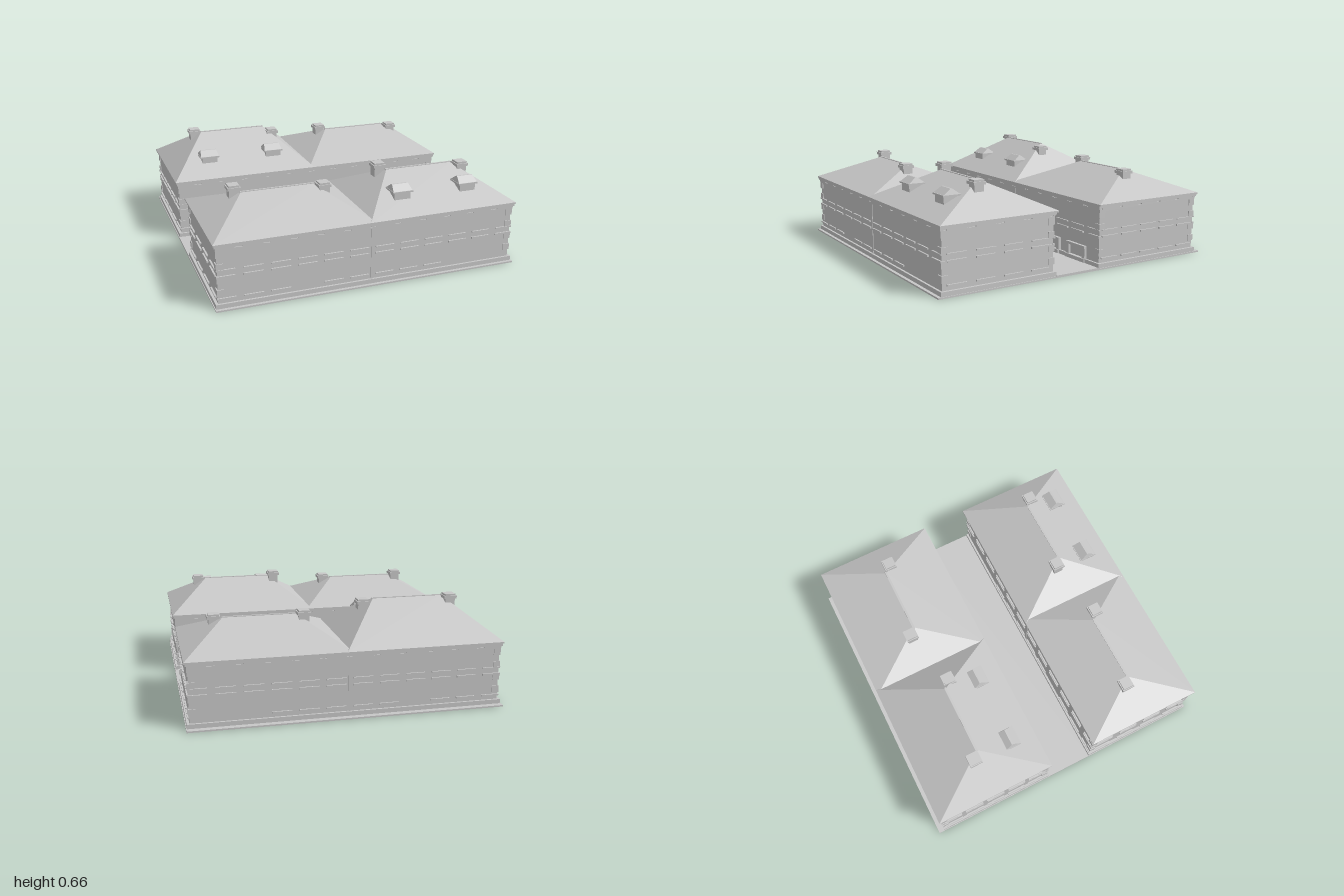
import * as THREE from 'three';

const stone = new THREE.MeshStandardMaterial({ color: 0xc6c6c6 });
stone.name = 'paleStone';

// box given by its limits on each axis
function block(parent, name, x0, x1, y0, y1, z0, z1) {
  const m = new THREE.Mesh(new THREE.BoxGeometry(x1 - x0, y1 - y0, z1 - z0), stone);
  m.position.set((x0 + x1) / 2, (y0 + y1) / 2, (z0 + z1) / 2);
  m.name = name;
  parent.add(m);
  return m;
}

// frustum with a rectangular base and top: hip roofs and dormer caps
function hip(parent, name, base, y0, top, y1) {
  const ring = ([x0, x1, z0, z1], y) => [[x0, y, z1], [x1, y, z1], [x1, y, z0], [x0, y, z0]];
  const a = ring(base, y0), b = ring(top, y1), pos = [];
  const quad = (p, q, r, s) => pos.push(...p, ...q, ...r, ...p, ...r, ...s);
  for (let i = 0; i < 4; i++) {
    const j = (i + 1) % 4;
    quad(a[i], a[j], b[j], b[i]);
  }
  quad(...b);
  quad(a[3], a[2], a[1], a[0]);
  const g = new THREE.BufferGeometry();
  g.setAttribute('position', new THREE.Float32BufferAttribute(pos, 3));
  g.computeVertexNormals();
  const m = new THREE.Mesh(g, stone);
  m.name = name;
  parent.add(m);
}

function chimney(parent, x, z, top) {
  const g = new THREE.Group();
  g.name = 'chimney';
  const part = (name, r, y0, y1) => block(g, name, x - r, x + r, y0, y1, z - r, z + r);
  part('chimneyShaft', 0.033, top - 0.1, top - 0.03);
  part('chimneyCap', 0.042, top - 0.03, top - 0.012);
  part('chimneyPot', 0.035, top - 0.012, top);
  parent.add(g);
}

function dormer(parent, x, z) {
  const g = new THREE.Group();
  g.name = 'dormer';
  block(g, 'dormerBody', x - 0.055, x + 0.055, 0.48, 0.535, z - 0.05, z + 0.05);
  block(g, 'dormerEave', x - 0.068, x + 0.068, 0.53, 0.54, z - 0.06, z + 0.06);
  hip(g, 'dormerRoof', [x - 0.065, x + 0.065, z - 0.055, z + 0.055], 0.54,
    [x - 0.055, x + 0.055, z - 0.006, z + 0.006], 0.575);
  parent.add(g);
}

// one long terrace: walls, bands, sills, corner stones
function terrace(name, z0, z1, sideCount) {
  const g = new THREE.Group();
  g.name = name;
  block(g, 'walls', -0.975, 0.975, 0.01, 0.41, z0, z1);
  block(g, 'plinth', -0.992, 0.992, 0.01, 0.038, z0 - 0.014, z1 + 0.014);
  block(g, 'corniceLower', -0.982, 0.982, 0.373, 0.385, z0 - 0.007, z1 + 0.007);
  block(g, 'corniceUpper', -0.99, 0.99, 0.393, 0.412, z0 - 0.015, z1 + 0.015);

  // sills and lintels along every face
  for (const [y, h] of [[0.068, 0.01], [0.208, 0.012], [0.25, 0.008], [0.389, 0.008]]) {
    for (let i = 0; i < 12; i++) {
      if (y < 0.1 && (i === 3 || i > 8)) continue;
      const x = -0.924 + i * 0.168, w = x < -0.9 || x > 0.9 ? 0.058 : 0.062;
      block(g, 'frontSill', x - w, x + w, y - h / 2, y + h / 2, z1 - 0.005, z1 + 0.01);
      block(g, 'backSill', x - w, x + w, y - h / 2, y + h / 2, z0 - 0.01, z0 + 0.005);
    }
    for (let i = 0; i < sideCount; i++) {
      const z = z0 + (i + 0.5) * (z1 - z0) / sideCount;
      for (const s of [-1, 1]) {
        const xa = s * 0.97, xb = s * 0.986;
        block(g, 'sideSill', Math.min(xa, xb), Math.max(xa, xb), y - h / 2, y + h / 2, z - 0.065, z + 0.065);
      }
    }
  }
  // alternating corner stones
  for (const sx of [-1, 1]) for (const zc of [z0, z1]) for (let k = 0; k < 4; k++) {
    const r = 0.022, y = 0.085 + k * 0.082;
    const sz = zc === z1 ? 1 : -1;
    const cx = sx * (0.981 - r), cz = zc + sz * (0.006 - r);
    block(g, 'cornerStone', cx - r, cx + r, y, y + 0.042, cz - r, cz + r);
  }
  // party wall strips
  block(g, 'partyStrip', -0.008, 0.008, 0.03, 0.4, z0 - 0.004, z1 + 0.004);
  return g;
}

// hip roof of one house, with a thin eave and ridge cap
function houseRoof(parent, side, z0, z1, ridgeY) {
  const x0 = side < 0 ? -0.997 : -0.02, x1 = side < 0 ? 0.02 : 0.997;
  const zc = (z0 + z1) / 2;
  block(parent, 'eave', x0, x1, 0.408, 0.418, z0, z1);
  hip(parent, 'roof', [x0, x1, z0, z1], 0.418, [x0 + 0.275, x1 - 0.275, zc - 0.006, zc + 0.006], ridgeY);
  block(parent, 'ridgeCap', x0 + 0.27, x1 - 0.27, ridgeY - 0.01, ridgeY + 0.004, zc - 0.007, zc + 0.007);
}

export function createModel() {
  const model = new THREE.Group();
  model.name = 'terracedHouses';

  // ground
  block(model, 'frontGround', -0.997, 0.997, 0, 0.01, 0.19, 1);
  block(model, 'rearGround', -0.997, 0.997, 0, 0.01, -1, -0.13);
  block(model, 'courtyard', -0.997, 0.997, 0, 0.015, -0.13, 0.19);

  // front terrace: taller roof on the left hand side (+x)
  const front = terrace('frontTerrace', 0.205, 0.965, 4);
  houseRoof(front, -1, 0.18, 0.983, 0.568);
  houseRoof(front, 1, 0.18, 0.983, 0.602);
  chimney(front, -0.76, 0.54, 0.61);
  chimney(front, -0.197, 0.623, 0.588);
  chimney(front, 0.213, 0.54, 0.645);
  chimney(front, 0.775, 0.623, 0.618);
  for (const x of [0.255, 0.717]) dormer(front, x, 0.79);
  model.add(front);

  // rear terrace: tallest roof at -x
  const rear = terrace('rearTerrace', -0.95, -0.15, 5);
  houseRoof(rear, -1, -0.968, -0.135, 0.645);
  houseRoof(rear, 1, -0.968, -0.135, 0.572);
  chimney(rear, -0.763, -0.592, 0.664);
  chimney(rear, -0.197, -0.505, 0.636);
  chimney(rear, 0.213, -0.592, 0.605);
  chimney(rear, 0.775, -0.505, 0.588);
  for (const x of [-0.722, -0.253]) dormer(rear, x, -0.32);

  // entrance surrounds facing the courtyard
  for (const x of [-0.76, -0.47, 0.47, 0.75]) {
    block(rear, 'doorHood', x - 0.1, x + 0.1, 0.105, 0.122, -0.155, -0.13);
    for (const s of [-1, 1]) {
      block(rear, 'doorPost', x + s * 0.085 - 0.015, x + s * 0.085 + 0.015, 0.015, 0.105, -0.155, -0.132);
    }
    block(rear, 'doorStep', x - 0.1, x + 0.1, 0.01, 0.04, -0.155, -0.125);
  }
  model.add(rear);
  return model;
}
